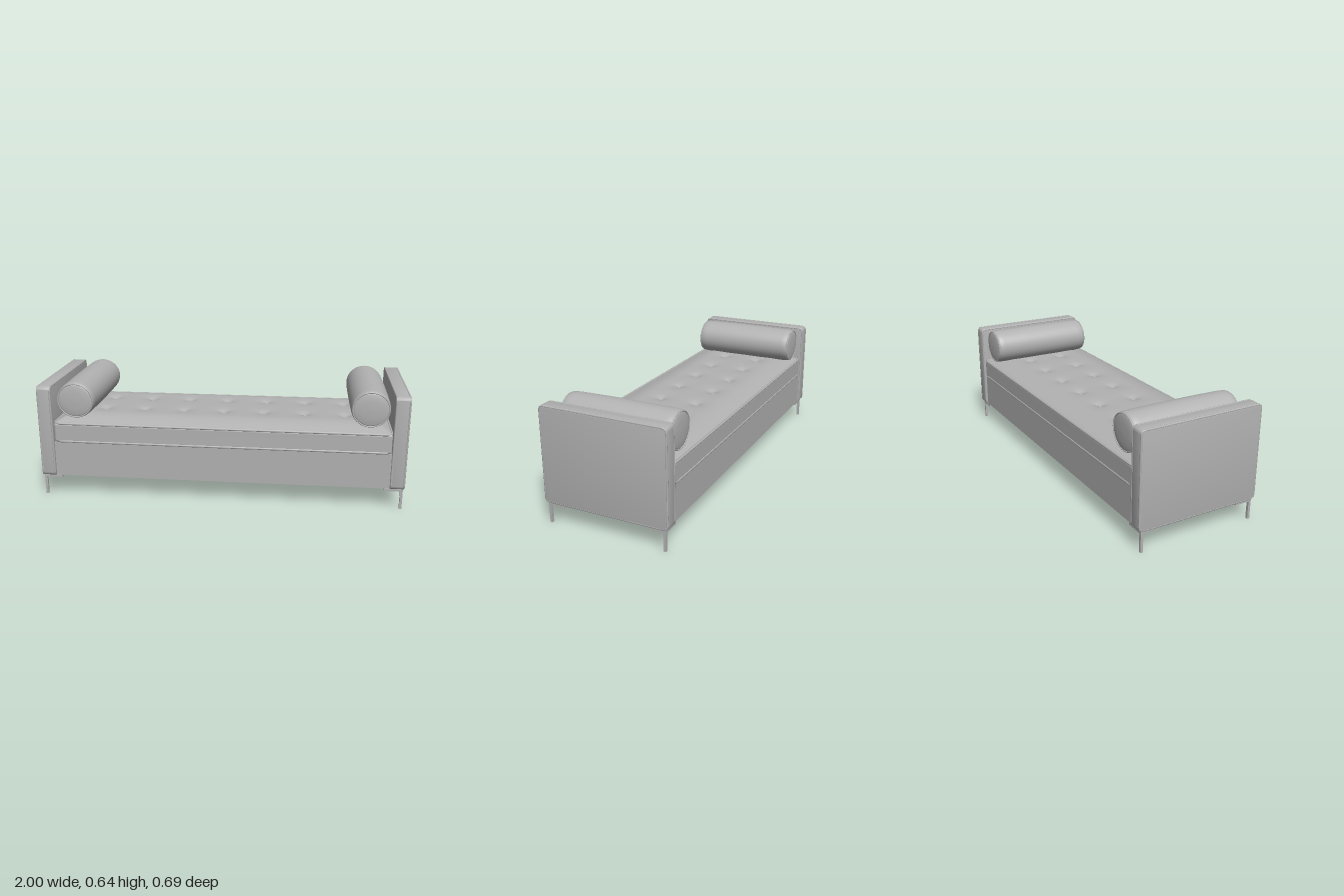
import * as THREE from 'three';
import { toCreasedNormals } from 'three/addons/utils/BufferGeometryUtils.js';
import { RoundedBoxGeometry } from 'three/addons/geometries/RoundedBoxGeometry.js';

const fabric = new THREE.MeshStandardMaterial({ color: 0xb2b2b2 });
fabric.name = 'grey fabric';

function add(parent, name, geometry, x = 0, y = 0, z = 0) {
  const mesh = new THREE.Mesh(geometry, fabric);
  mesh.name = name;
  mesh.position.set(x, y, z);
  parent.add(mesh);
  return mesh;
}

// Rounded rectangle centred on the origin
function roundedRect(w, h, r) {
  const s = new THREE.Shape(), a = w / 2, b = h / 2;
  s.moveTo(a, -b + r);
  s.lineTo(a, b - r);
  s.absarc(a - r, b - r, r, 0, Math.PI / 2);
  s.lineTo(-a + r, b);
  s.absarc(-a + r, b - r, r, Math.PI / 2, Math.PI);
  s.lineTo(-a, -b + r);
  s.absarc(-a + r, -b + r, r, Math.PI, Math.PI * 1.5);
  s.lineTo(a - r, -b);
  s.absarc(a - r, -b + r, r, Math.PI * 1.5, Math.PI * 2);
  return s;
}

// Closed cord following a rounded rectangle in the xy plane
function pipingGeometry(w, h, r, thick) {
  const pts = roundedRect(w, h, r).getSpacedPoints(160).slice(0, -1);
  const path = new THREE.CatmullRomCurve3(pts.map(p => new THREE.Vector3(p.x, p.y, 0)), true);
  return new THREE.TubeGeometry(path, 200, thick, 8, true);
}

const buttonRows = [-0.115, 0.1];
const buttonXs = [-3, -2, -1, 0, 1, 2, 3].map(i => i * 0.2265);

// Height of the tufted top: a soft crown with dimples and folds at the buttons
function topHeight(x, z) {
  const edge = Math.min(1, (0.325 - Math.abs(z)) / 0.14, (0.915 - Math.abs(x)) / 0.1);
  let y = 0.421 + 0.034 * Math.sin(Math.max(0, edge) * Math.PI / 2);
  for (const bz of buttonRows) {
    const dz = z - bz;
    const wave = Math.cos(x / 0.2265 * Math.PI * 2);
    y -= 0.005 * (0.5 + 0.5 * wave) * Math.exp(-dz * dz / 0.005);
    for (const bx of buttonXs) {
      const d2 = (x - bx) ** 2 + dz * dz;
      y -= 0.014 * Math.exp(-d2 / 0.0008);
    }
  }
  return y;
}

function buildArm(side) {
  const arm = new THREE.Group();
  arm.name = side > 0 ? 'leftArm' : 'rightArm';
  const w = 0.674, h = 0.5;
  const slab = new THREE.ExtrudeGeometry(roundedRect(w, h, 0.014), {
    depth: 0.064, bevelEnabled: true, bevelSize: 0.007, bevelThickness: 0.007, bevelSegments: 3, curveSegments: 6,
  });
  slab.translate(0, 0, -0.032);
  slab.rotateY(Math.PI / 2);
  add(arm, 'armPanel', toCreasedNormals(slab, 0.7));
  // Cords along the inner and outer edges
  for (const x of [-0.034, 0.034]) {
    add(arm, 'armPiping', pipingGeometry(w + 0.006, h + 0.006, 0.018, 0.006), x).rotation.y = Math.PI / 2;
  }
  arm.position.set(side * 0.96, 0.371, 0);
  return arm;
}

function buildBolster(side) {
  const bolster = new THREE.Group();
  bolster.name = side > 0 ? 'leftBolster' : 'rightBolster';
  const half = [[0, 0.31], [0.05, 0.309], [0.085, 0.305], [0.096, 0.3], [0.102, 0.29], [0.104, 0.26], [0.106, 0.1]];
  const profile = [
    ...half.map(([r, l]) => new THREE.Vector2(r, -l)),
    ...half.slice().reverse().map(([r, l]) => new THREE.Vector2(r, l)),
  ];
  add(bolster, 'bolsterRoll', new THREE.LatheGeometry(profile, 40)).rotation.x = Math.PI / 2;
  for (const z of [-0.301, 0.301]) {
    add(bolster, 'bolsterPiping', new THREE.TorusGeometry(0.096, 0.004, 8, 40), 0, 0, z);
  }
  bolster.scale.set(1.01, 0.965, 1);
  bolster.position.set(side * 0.802, 0.541, -0.01);
  return bolster;
}

// Slim post with an L-shaped mounting plate
function buildLeg(sx, sz) {
  const leg = new THREE.Group();
  leg.name = (sz > 0 ? 'front' : 'back') + (sx > 0 ? 'Left' : 'Right') + 'Leg';
  add(leg, 'legPost', new THREE.BoxGeometry(0.014, 0.1, 0.014), sx * 0.985, 0.05, sz * 0.322);
  add(leg, 'legPlateAlongSide', new THREE.BoxGeometry(0.026, 0.014, 0.1), sx * 0.979, 0.107, sz * 0.28);
  add(leg, 'legPlateAlongFront', new THREE.BoxGeometry(0.08, 0.014, 0.026), sx * 0.93, 0.107, sz * 0.317);
  return leg;
}

export function createModel() {
  const model = new THREE.Group();
  model.name = 'daybed';

  // Upholstered base
  add(model, 'base', new THREE.BoxGeometry(1.86, 0.195, 0.66), 0, 0.2125, 0);

  // Mattress with piped edges
  const mattress = new THREE.Group();
  mattress.name = 'mattress';
  add(mattress, 'mattressSides', new RoundedBoxGeometry(1.84, 0.114, 0.67, 4, 0.016), 0, 0.366, 0);
  for (const y of [0.317, 0.419]) {
    add(mattress, 'mattressPiping', pipingGeometry(1.834, 0.664, 0.03, 0.007), 0, y, 0).rotation.x = Math.PI / 2;
  }

  // Tufted top surface
  const top = new THREE.PlaneGeometry(1.83, 0.65, 180, 72);
  top.rotateX(-Math.PI / 2);
  const pos = top.attributes.position;
  for (let i = 0; i < pos.count; i++) pos.setY(i, topHeight(pos.getX(i), pos.getZ(i)));
  top.computeVertexNormals();
  add(mattress, 'tuftedTop', top);

  // Buttons
  const button = new THREE.SphereGeometry(0.009, 12, 8);
  button.scale(1, 0.5, 1);
  for (const z of buttonRows) {
    for (const x of buttonXs) add(mattress, 'button', button, x, topHeight(x, z) + 0.002, z);
  }
  model.add(mattress);

  for (const side of [-1, 1]) {
    model.add(buildArm(side), buildBolster(side));
    for (const sz of [-1, 1]) model.add(buildLeg(side, sz));
  }
  return model;
}
